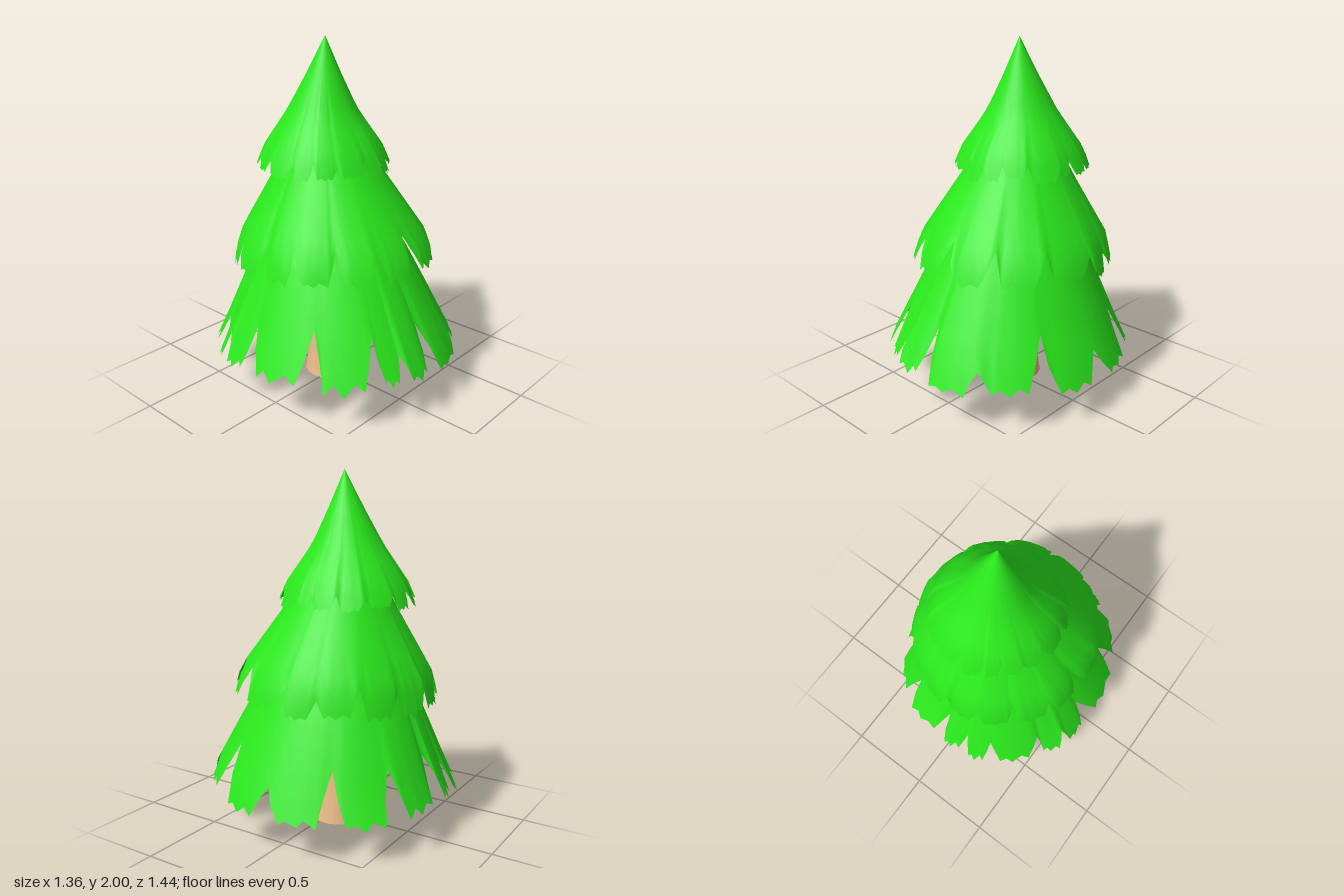
import * as THREE from 'three';

const leafMaterial = new THREE.MeshStandardMaterial({ color: 0x2ae81c, side: THREE.DoubleSide });
const barkMaterial = new THREE.MeshStandardMaterial({ color: 0xe8b986, side: THREE.DoubleSide });

// Linear interpolation through [key, value] pairs with rising keys, extended at both ends
function sample(pairs, k) {
  let i = 1;
  while (i < pairs.length - 1 && k > pairs[i][0]) i++;
  const [k0, v0] = pairs[i - 1], [k1, v1] = pairs[i];
  return v0 + (v1 - v0) * (k - k0) / (k1 - k0);
}

function seeded(seed) {
  return () => {
    seed = (seed * 16807) % 2147483647;
    return seed / 2147483647;
  };
}

// Edge of one frond: [position across, share of the drop from notch to tip]
const FROND = [[0, 0], [0.12, 0.5], [0.23, 0.94], [0.37, 0.8], [0.52, 1], [0.66, 0.83], [0.79, 0.94], [0.9, 0.45]];

// One skirt of fronds. notches: [angle in degrees, height]; profile: [height, radius];
// lean: [height, z of the axis]; tilt: change of the tip height towards +x and +z;
// twist: how far a frond's one side stands proud of its neighbour
function makeTier(name, { profile, lean, shift, depth, top, tip, tilt, twist, notches, seed }) {
  const random = seeded(seed);
  const columns = [];
  notches.forEach(([a0, y0], i) => {
    let [a1, y1] = notches[(i + 1) % notches.length];
    if (a1 < a0) a1 += 360;
    const middle = THREE.MathUtils.degToRad((a0 + a1) / 2);
    const end = tip + tilt[0] * Math.cos(middle) + tilt[1] * Math.sin(middle) + (random() - 0.5) * 0.04;
    const turn = (random() - 0.5) * 2 * twist;
    for (const [u, drop] of FROND) {
      const across = u + (u > 0.2 && u < 0.85 ? (random() - 0.5) * 0.07 : 0);
      const notchY = y0 + (y1 - y0) * u;
      columns.push({
        angle: THREE.MathUtils.degToRad(a0 + (a1 - a0) * across),
        edge: notchY + (end - notchY) * drop * (0.93 + random() * 0.12),
        offset: turn * (u - 0.5),
      });
    }
  });

  const rows = 10, positions = [], index = [], n = columns.length;
  for (let r = 0; r <= rows; r++) {
    const t = r / rows;
    for (const { angle, edge, offset } of columns) {
      const y = top + (edge - top) * t;
      const radius = sample(profile, y) + offset * t ** 3;
      positions.push(
        Math.cos(angle) * radius + shift,
        y,
        Math.sin(angle) * radius * depth + sample(lean, y));
    }
  }
  for (let r = 0; r < rows; r++) {
    for (let c = 0; c < n; c++) {
      const a = r * n + c, b = r * n + (c + 1) % n;
      index.push(a, b, a + n, b, b + n, a + n);
    }
  }
  const geometry = new THREE.BufferGeometry();
  geometry.setAttribute('position', new THREE.Float32BufferAttribute(positions, 3));
  geometry.setIndex(index);
  geometry.computeVertexNormals();
  const mesh = new THREE.Mesh(geometry, leafMaterial);
  mesh.name = name;
  return mesh;
}

// Notches spread unevenly round a tier
function spreadNotches(count, start, height, vary, seed) {
  const random = seeded(seed);
  return Array.from({ length: count }, (_, i) => [
    start + (i + (i ? (random() - 0.5) * 0.5 : 0)) * 360 / count,
    height + (random() - 0.5) * vary,
  ]);
}

// Flared hollow trunk, bent along its lean
function makeTrunk() {
  const outline = [[0.154, 0], [0.135, 0.08], [0.115, 0.2], [0.103, 0.3], [0.09, 0.5], [0.06, 0.95]];
  const lean = [[0, -0.045], [0.2, -0.066], [0.95, -0.07]];
  const geometry = new THREE.LatheGeometry(outline.map(([x, y]) => new THREE.Vector2(x, y)), 14);
  const p = geometry.attributes.position;
  for (let i = 0; i < p.count; i++) {
    p.setX(i, p.getX(i) + 0.012);
    p.setZ(i, p.getZ(i) + sample(lean, p.getY(i)));
  }
  const mesh = new THREE.Mesh(geometry, barkMaterial);
  mesh.name = 'trunk';
  return mesh;
}

export function createModel() {
  const tree = new THREE.Group();
  tree.name = 'firTree';

  tree.add(makeTrunk());

  tree.add(makeTier('lowerBranches', {
    profile: [[0.2, 0.695], [0.28, 0.667], [0.6, 0.52], [0.82, 0.415], [1.4, 0.1]],
    lean: [[0.22, 0], [0.28, 0.012], [0.82, -0.022]],
    shift: 0, depth: 1.06, top: 1.4, tip: 0.23, tilt: [-0.02, 0.015], twist: 0.05, seed: 11,
    notches: [
      [-1, 0.37], [29, 0.52], [59, 0.36], [88, 0.5], [107, 0.41], [120, 0.52], [150, 0.55], [186, 0.48],
      [202, 0.4], [216, 0.42], [243, 0.4], [257, 0.4], [272, 0.48], [301, 0.48], [329, 0.48],
    ],
  }));

  tree.add(makeTier('middleBranches', {
    profile: [[0.75, 0.57], [0.9, 0.528], [1.28, 0.29], [1.75, 0.03]],
    lean: [[0.8, -0.015], [1.28, -0.058]],
    shift: 0.012, depth: 1.03, top: 1.75, tip: 0.76, tilt: [0, 0.025], twist: 0.04, seed: 29,
    notches: [
      [-22, 0.84], [-3, 0.88], [28, 0.95], [57, 0.96], [87, 0.98], [114, 0.93], [137, 0.94],
      [160, 0.9], [183, 0.96], [205, 0.9], [228, 0.92], [250, 0.88], [270, 0.9], [292, 0.86], [315, 0.9],
    ],
  }));

  tree.add(makeTier('topBranches', {
    profile: [[1.27, 0.385], [1.4, 0.33], [1.6, 0.193], [1.8, 0.093], [2, 0]],
    lean: [[1.28, -0.095], [1.6, -0.1], [2, -0.078]],
    shift: 0.01, depth: 1.02, top: 2, tip: 1.28, tilt: [0, 0], twist: 0.02, seed: 47,
    notches: spreadNotches(17, 80, 1.36, 0.04, 17),
  }));

  return tree;
}
